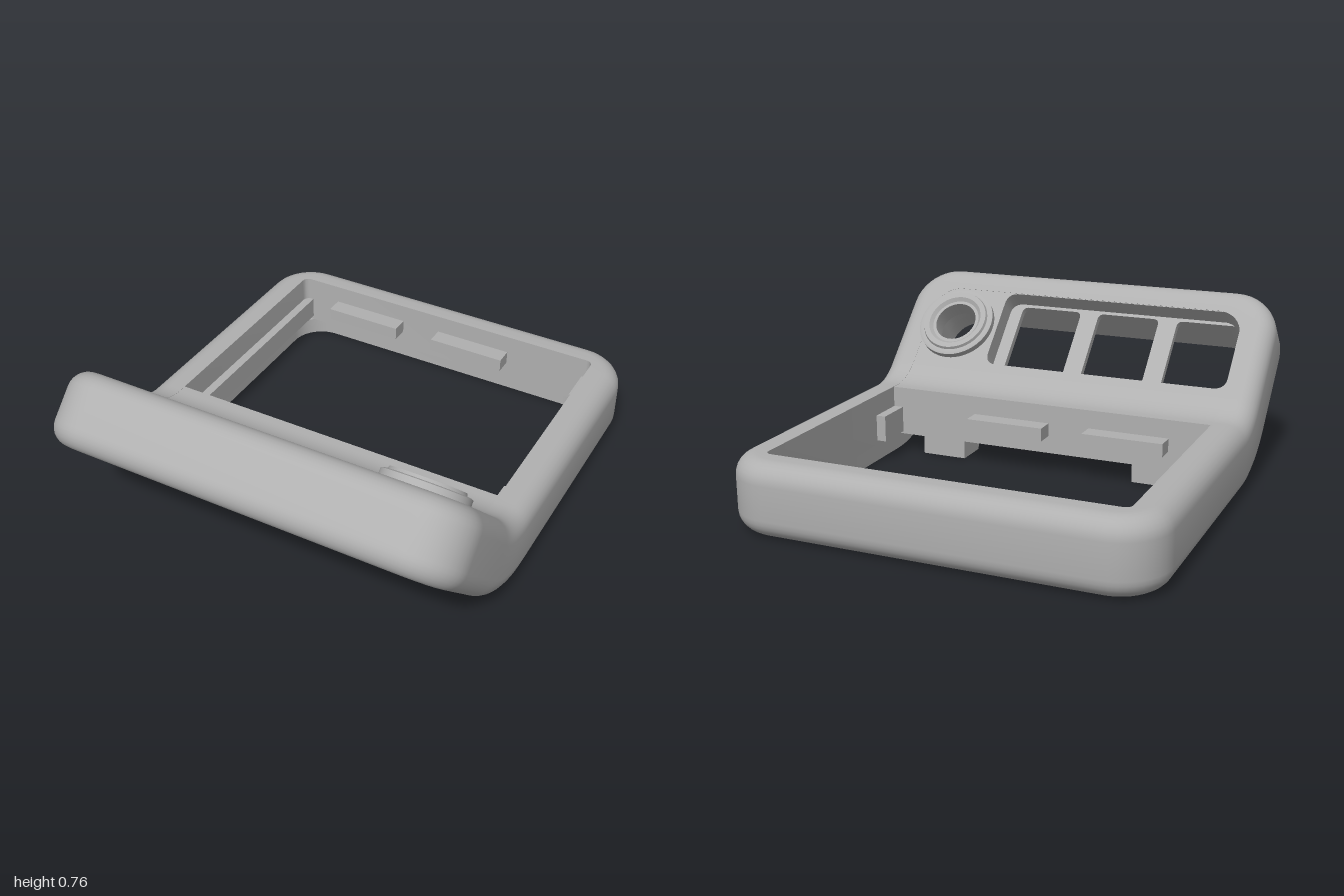
import * as THREE from 'three';
import { toCreasedNormals } from 'three/addons/utils/BufferGeometryUtils.js';

const T = 0.315;               // body thickness
const S0 = 0.235, R = 0.23;    // start and radius of the bend
const A = Math.PI / 4;         // bend angle
const S1 = S0 + R * A;         // end of the bend

// Maps flat coordinates (x, height, length) onto the bent body
function bend(x, h, s) {
  const a = THREE.MathUtils.clamp((s - S0) / R, 0, A);
  const r = R + T - h;
  const extra = s < S0 ? s - S0 : Math.max(0, s - S1);
  return [
    x,
    T + R - r * Math.cos(a) + extra * Math.sin(a),
    S0 + r * Math.sin(a) + extra * Math.cos(a),
  ];
}

// Rounded outline in the flat plan, with extra points across the bend
function outline(hw, back, front, rb, rf) {
  const half = [];
  const N = 10;
  for (let i = 0; i <= N; i++) {
    const a = (i / N) * Math.PI / 2;
    half.push([hw - rb + rb * Math.sin(a), back + rb - rb * Math.cos(a)]);
  }
  for (let i = 0; i <= 12; i++) half.push([hw, 0.21 + i * 0.019]);
  for (let i = 0; i <= N; i++) {
    const a = (i / N) * Math.PI / 2;
    half.push([hw - rf + rf * Math.cos(a), front - rf + rf * Math.sin(a)]);
  }
  const other = half.map(([x, s]) => [-x, s]).reverse();
  return [...half, ...other];
}

function frameGeometry() {
  const f = 0.085, M = 7;
  const loops = [];
  const add = (h, o) => loops.push(o.map(([x, s]) => bend(x, h, s)));
  const outer = (i) => outline(0.91 - i, -1 + i, 1 - i, 0.21 - i, 0.21 - i);
  const lower = outline(0.77, -0.9, 0.86, 0.15, 0.12);
  const upper = outline(0.765, -0.86, 0.86, 0.03, 0.12);
  add(0, lower);
  for (let i = 0; i <= M; i++) {
    const a = (i / M) * Math.PI / 2;
    add(f - f * Math.cos(a), outer(f - f * Math.sin(a)));
  }
  for (let i = 0; i <= M; i++) {
    const a = (i / M) * Math.PI / 2;
    add(T - f + f * Math.sin(a), outer(f - f * Math.cos(a)));
  }
  add(T, upper);
  add(0.08, upper);
  add(0.08, lower);
  const n = loops[0].length, index = [];
  loops.forEach((_, k) => {
    const k2 = (k + 1) % loops.length;
    for (let j = 0; j < n; j++) {
      const j2 = (j + 1) % n;
      const a = k * n + j, b = k2 * n + j, c = k2 * n + j2, d = k * n + j2;
      index.push(a, b, c, a, c, d);
    }
  });
  const g = new THREE.BufferGeometry();
  g.setAttribute('position', new THREE.Float32BufferAttribute(loops.flat(2), 3));
  g.setIndex(index);
  return toCreasedNormals(g, 0.6);
}

function roundRect(p, x0, x1, y0, y1, r) {
  p.moveTo(x0 + r, y0);
  p.lineTo(x1 - r, y0);
  p.quadraticCurveTo(x1, y0, x1, y0 + r);
  p.lineTo(x1, y1 - r);
  p.quadraticCurveTo(x1, y1, x1 - r, y1);
  p.lineTo(x0 + r, y1);
  p.quadraticCurveTo(x0, y1, x0, y1 - r);
  p.lineTo(x0, y0 + r);
  p.quadraticCurveTo(x0, y0, x0 + r, y0);
  return p;
}

function rectShape(x0, x1, y0, y1) {
  return new THREE.Shape([[x0, y0], [x1, y0], [x1, y1], [x0, y1]].map((p) => new THREE.Vector2(...p)));
}

export function createModel() {
  const model = new THREE.Group();
  model.name = 'bentPanelFrame';
  const grey = new THREE.MeshStandardMaterial({ color: 0xb0b0b0 });
  grey.name = 'grey plastic';

  const mesh = (name, geo, parent = model) => {
    const m = new THREE.Mesh(geo, grey);
    m.name = name;
    parent.add(m);
    return m;
  };
  const box = (name, x0, x1, y0, y1, z0, z1) =>
    mesh(name, new THREE.BoxGeometry(x1 - x0, y1 - y0, z1 - z0))
      .position.set((x0 + x1) / 2, (y0 + y1) / 2, (z0 + z1) / 2);
  // Side profile of [z, y] points extruded from x0 to x1
  const bar = (name, pts, x0, x1) => {
    const shape = new THREE.Shape(pts.map((p) => new THREE.Vector2(...p)));
    const g = new THREE.ExtrudeGeometry(shape, { depth: x1 - x0, bevelEnabled: false });
    mesh(name, g.rotateY(-Math.PI / 2)).position.x = x1;
  };

  mesh('outerFrame', frameGeometry());

  // Curved plate between the opening and the sloping panel
  const curved = new THREE.BoxGeometry(1.55, 0.12, 0.25, 1, 1, 14).translate(0, T - 0.061, 0.325);
  const pos = curved.attributes.position;
  for (let i = 0; i < pos.count; i++) {
    pos.setXYZ(i, ...bend(pos.getX(i), pos.getY(i), pos.getZ(i)));
  }
  mesh('curvedPlate', toCreasedNormals(curved, 0.6));

  // Sloping panel: local y = 0 is its top face, local z runs up the slope
  const panel = new THREE.Group();
  panel.name = 'slopingPanel';
  const [, y1, z1] = bend(0, T, S1);
  panel.position.set(0, y1 - S1 * Math.sin(A), z1 - S1 * Math.cos(A));
  panel.rotation.x = -A;
  model.add(panel);
  const plate = (name, shape, top, depth) => {
    const g = new THREE.ExtrudeGeometry(shape, { depth, bevelEnabled: false, curveSegments: 16 });
    mesh(name, toCreasedNormals(g.rotateX(Math.PI / 2), 0.6), panel).position.y = top;
  };

  const trayRim = rectShape(-0.775, 0.42, 0.448, 0.87);
  trayRim.holes.push(roundRect(new THREE.Path(), -0.762, 0.4, 0.456, 0.856, 0.06));
  plate('trayRim', trayRim, -0.001, 0.09);

  const trayFloor = rectShape(-0.775, 0.42, 0.448, 0.87);
  for (const x of [-0.74, -0.35, 0.04]) {
    trayFloor.holes.push(roundRect(new THREE.Path(), x, x + 0.3, 0.484, 0.84, 0.03));
  }
  plate('trayFloor', trayFloor, -0.09, 0.03);

  const knobPlate = rectShape(0.42, 0.775, 0.448, 0.87);
  knobPlate.holes.push(new THREE.Path().absarc(0.605, 0.652, 0.12, 0, Math.PI * 2));
  plate('knobPlate', knobPlate, -0.001, 0.055);

  // Stepped collar around the round hole
  const collar = [
    [0.1, -0.055], [0.15, -0.055], [0.185, -0.01], [0.185, 0.028], [0.175, 0.032], [0.16, 0.032],
    [0.155, 0.045], [0.13, 0.045], [0.115, 0.03], [0.1, 0.03], [0.1, -0.055],
  ].map((p) => new THREE.Vector2(...p));
  mesh('holeCollar', toCreasedNormals(new THREE.LatheGeometry(collar, 48), 0.5), panel)
    .position.set(0.605, 0, 0.652);

  // Cross beam under the curved plate, with two brackets
  bar('crossBeam', [[0.2, 0.09], [0.24, 0.08], [0.26, 0.11], [0.26, 0.24], [0.2, 0.24]], -0.775, 0.775);
  for (const x of [-0.515, 0.515]) {
    bar('bracket', [[0.22, 0], [0.37, 0], [0.4, 0.08], [0.25, 0.24], [0.22, 0.24]], x - 0.105, x + 0.105);
  }

  // Retaining tabs and ledge around the opening
  for (const [x0, x1] of [[-0.58, -0.21], [-0.02, 0.345]]) {
    box('backTab', x0, x1, 0.17, 0.23, -0.87, -0.78);
    box('frontTab', x0, x1, 0.17, 0.23, 0.115, 0.21);
  }
  box('sideTab', 0.72, 0.77, 0.1, 0.22, -0.87, -0.7);
  box('sideTab', 0.72, 0.77, 0.1, 0.22, 0.03, 0.21);
  box('sideLedge', -0.77, -0.725, 0.1, 0.2, -0.87, 0.21);

  return model;
}
